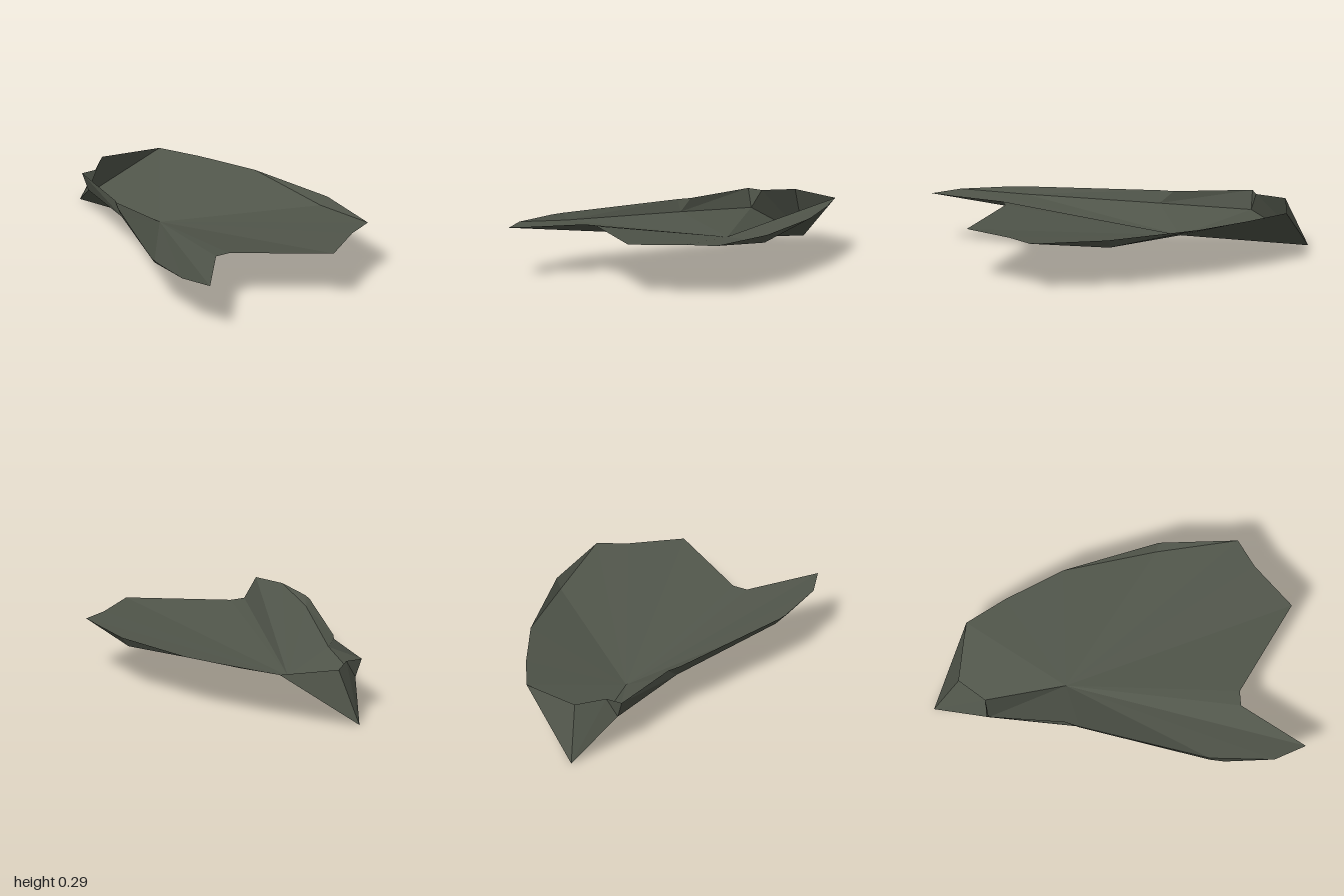
import * as THREE from 'three';

const RIM = 0.288;

// Hull corners: [x, z, y]; corners without a height lie on the flat rim
const P = {
  keel: [-0.3, -0.19, 0.107], tip: [-1, -0.405, 0],
  backKnuckle: [0.46, -0.65, 0.238], frontKnuckle: [0.22, 0.575, 0.25],
  frontBend: [-0.35, 0.097, 0.222], sideBend: [-0.775, -0.175, 0.185],
  backLeft: [-0.67, -0.695], back1: [-0.42, -0.73], back2: [-0.06, -0.75],
  back3: [0.49, -0.675], back4: [0.89, -0.505],
  right1: [0.91, -0.33], right2: [1, -0.035],
  notch1: [0.53, 0.3], notch2: [0.5, 0.38],
  prong1: [0.725, 0.745], prong2: [0.535, 0.745],
  front1: [0.28, 0.64], front2: [0.21, 0.596], front3: [-0.366, 0.12], front4: [-0.42, 0.06],
  left1: [-0.8, -0.15], left2: [-0.765, -0.24], left3: [-0.85, -0.405],
};

// Flat-shaded sheet made from fans: the first corner joins every following pair
function sheet(name, material, fans) {
  const pos = [];
  const put = (k) => { const [x, z, y = RIM] = P[k]; pos.push(x, y, z); };
  for (const fan of fans) {
    const [hub, ...ring] = fan.split(' ');
    for (let i = 0; i + 1 < ring.length; i++) [hub, ring[i], ring[i + 1]].forEach(put);
  }
  const g = new THREE.BufferGeometry();
  g.setAttribute('position', new THREE.Float32BufferAttribute(pos, 3));
  g.computeVertexNormals();
  const mesh = new THREE.Mesh(g, material);
  mesh.name = name;
  return mesh;
}

export function createModel() {
  const group = new THREE.Group();
  group.name = 'shellFragment';
  const olive = new THREE.MeshStandardMaterial({ color: 0x50554a, flatShading: true, side: THREE.DoubleSide });
  olive.name = 'darkOliveGrey';

  group.add(
    // shallow dish around the lowest inner corner
    sheet('dishFloor', olive, [
      'keel backKnuckle back2 back1 backLeft tip sideBend frontBend frontKnuckle prong2 prong1 notch2 notch1 right2 right1 back4 backKnuckle',
    ]),
    // steep strip along the front edge
    sheet('frontWall', olive, [
      'frontBend sideBend left1 front4 front3',
      'frontKnuckle frontBend front3 front2 front1 prong2',
    ]),
    // short steep strip at the back edge
    sheet('backWall', olive, ['backKnuckle back4 back3 back2']),
    // pointed spur reaching the ground
    sheet('spur', olive, [
      'tip backLeft left3 left2 sideBend',
      'sideBend left2 left1',
    ]),
  );
  return group;
}
